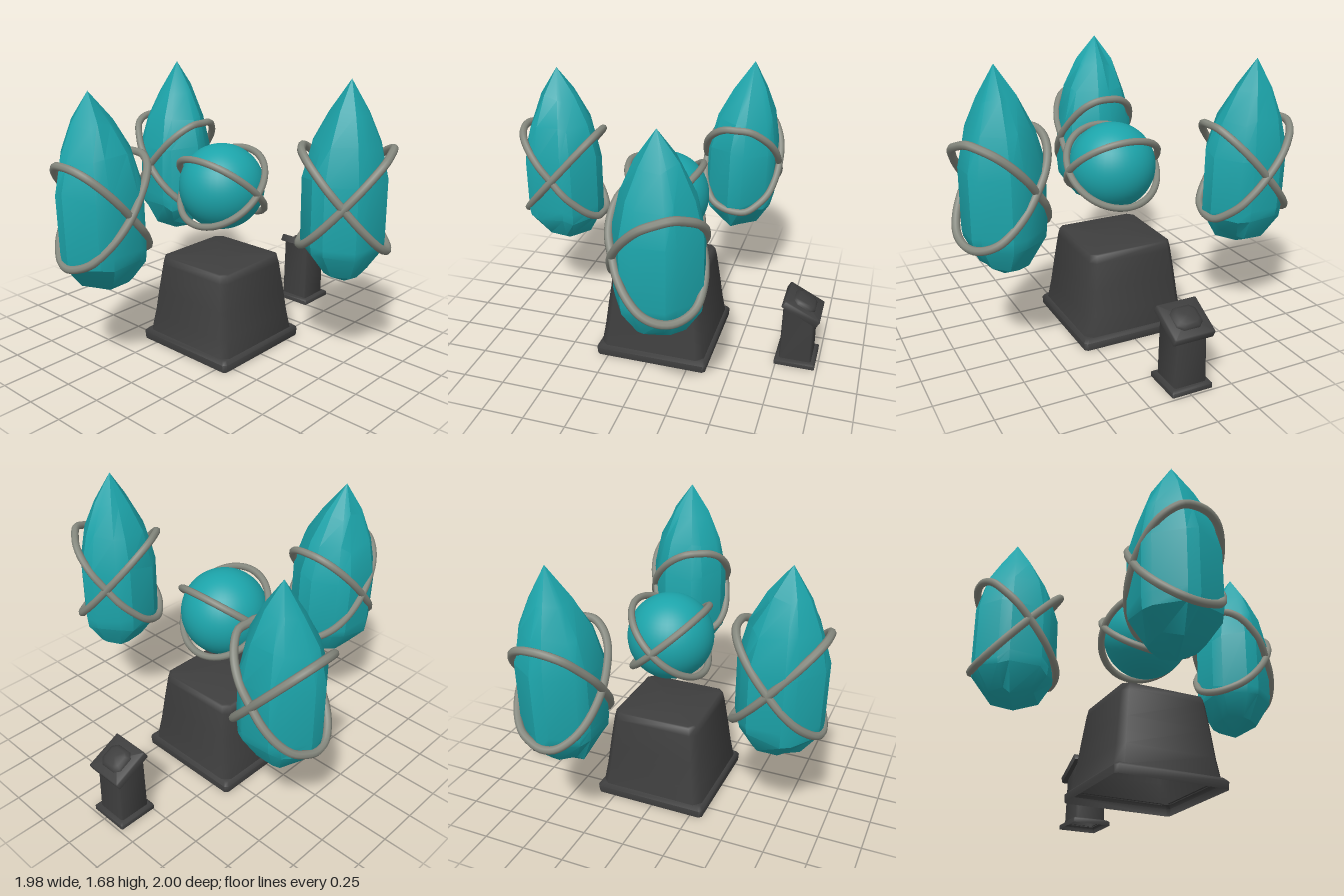
import * as THREE from 'three';
import { toCreasedNormals } from 'three/addons/utils/BufferGeometryUtils.js';

const teal = new THREE.MeshStandardMaterial({ color: 0x1ca4aa });
teal.name = 'teal crystal';
// The stone parts are hollow shells, open underneath
const stone = new THREE.MeshStandardMaterial({ color: 0x3e3e3e, side: THREE.DoubleSide });
stone.name = 'dark stone';
const metal = new THREE.MeshStandardMaterial({ color: 0x85887e });
metal.name = 'grey band';

// Small seeded generator returning values in -1..1
function seeded(seed) {
  let s = seed;
  return () => {
    s = (s * 16807) % 2147483647;
    return (s / 2147483647) * 2 - 1;
  };
}

function part(name, geometry, material) {
  const mesh = new THREE.Mesh(geometry, material);
  mesh.name = name;
  return mesh;
}

// Skins rows of n points, listed from bottom to top; point(row, i) gives [x, y, z]
function loft(rows, n, point, crease) {
  const pos = [];
  const grid = rows.map((row) => Array.from({ length: n }, (_, i) => point(row, i)));
  for (let r = 0; r < rows.length - 1; r++) {
    for (let i = 0; i < n; i++) {
      const j = (i + 1) % n;
      const [a, b, c, d] = [grid[r][i], grid[r][j], grid[r + 1][i], grid[r + 1][j]];
      if (rows[r][0] > 0) pos.push(...a, ...c, ...b);
      if (rows[r + 1][0] > 0) pos.push(...c, ...d, ...b);
    }
  }
  const geometry = new THREE.BufferGeometry();
  geometry.setAttribute('position', new THREE.Float32BufferAttribute(pos, 3));
  geometry.computeVertexNormals();
  return toCreasedNormals(geometry, crease);
}

// Square shell with clipped corners, softly shaded, from rows of [half width, height, slope along x]
function squareLoft(rows, clip) {
  return loft(rows, 8, ([half, y, slope = 0], i) => {
    const near = half * (1 - clip);
    const [u, v] = i % 2 ? [near, half] : [half, near];
    const a = (Math.floor(i / 2) * Math.PI) / 2;
    const x = u * Math.cos(a) - v * Math.sin(a);
    return [x, y + slope * x, u * Math.sin(a) + v * Math.cos(a)];
  }, 1.2);
}

// Six-sided gem with bevelled edges: rows of [relative radius, height above the lower tip]
function crystalGeometry(rx, rz, height, tip, turn, seed) {
  const n = 12;
  const rand = seeded(seed);
  const sides = Array.from({ length: n }, (_, i) => ({
    a: (Math.floor(i / 2) / 6) * Math.PI * 2 + (i % 2 ? 0.15 : -0.15) + rand() * 0.05 + turn,
    r: 1 + rand() * 0.025,
  }));
  const rows = [[0, 0], [0.6, 0.08], [0.97, 0.2], [1, 0.26], [1, 0.6], [0.8, 0.79], [0.47, 0.96], [0, 1.13]];
  return loft(rows, n, ([r, y], i) => {
    const k = y / 1.13;
    const lean = 1 - r * 0.9;
    const shift = k > 0.5 ? tip.top : tip.bottom;
    const jitter = r > 0 ? rand() * 0.025 : 0;
    const radius = r * sides[i].r;
    return [
      radius * rx * Math.cos(sides[i].a) + shift[0] * lean,
      k * height + jitter,
      radius * rz * Math.sin(sides[i].a) + shift[1] * lean,
    ];
  }, 0.5);
}

// Pair of tilted bands that cross at both ends of a level axis (angle in the xz plane)
function crossedBands(name, shape, wobble, seed) {
  const { axis, along, across, rise, power, tube } = shape;
  const group = new THREE.Group();
  group.name = name;
  const rand = seeded(seed);
  const [ca, sa] = [Math.cos(axis), Math.sin(axis)];
  for (const side of [1, -1]) {
    const points = [];
    for (let i = 0; i < 20; i++) {
      const t = (i / 20) * Math.PI * 2;
      const [c, s] = [Math.cos(t), Math.sin(t)];
      const f = (Math.abs(c) ** power + Math.abs(s) ** power) ** (-1 / power) * (1 + rand() * wobble);
      const [u, v] = [c * f * along, s * f * across];
      points.push(new THREE.Vector3(u * ca - v * sa, side * s * f * rise, u * sa + v * ca));
    }
    const curve = new THREE.CatmullRomCurve3(points, true);
    group.add(part('band', new THREE.TubeGeometry(curve, 80, tube, 8, true), metal));
  }
  return group;
}

export function createModel() {
  const model = new THREE.Group();
  model.name = 'floating crystals with plinth';

  // Central plinth
  const plinth = new THREE.Group();
  plinth.name = 'plinth';
  plinth.position.set(0.02, 0, -0.02);
  plinth.add(
    part('plinthFoot', squareLoft([[0.342, 0], [0.345, 0.045], [0.325, 0.065], [0.31, 0.065]], 0.05), stone),
    part('plinthBody', squareLoft([
      [0.325, 0.06], [0.306, 0.18], [0.287, 0.34], [0.266, 0.5], [0.257, 0.545], [0.245, 0.55], [0, 0.55],
    ], 0.13), stone),
  );
  model.add(plinth);

  // Floating orb with its two bands
  const orb = new THREE.Group();
  orb.name = 'floatingOrb';
  orb.position.set(0.02, 0.985, -0.015);
  orb.add(part('orb', new THREE.SphereGeometry(0.255, 40, 28), teal));
  const orbBands = { axis: Math.PI / 2, along: 0.278, across: 0.214, rise: 0.196, power: 2, tube: 0.021 };
  orb.add(crossedBands('orbBands', orbBands, 0, 5));
  model.add(orb);

  // Three banded crystals around the orb
  const crystals = [
    { name: 'rightCrystal', at: [-0.72, 0.49, -0.23], rx: 0.252, rz: 0.245, h: 1.13, turn: 0.1,
      band: [-0.712, 0.975, -0.23], axis: Math.PI / 2, tip: { top: [-0.03, -0.03], bottom: [0.02, 0.02] }, seed: 71 },
    { name: 'frontCrystal', at: [0.205, 0.53, 0.722], rx: 0.24, rz: 0.23, h: 1.15, turn: 0.0,
      band: [0.2, 1.03, 0.73], axis: -0.57, tip: { top: [-0.005, 0.02], bottom: [0.02, 0.02] }, seed: 1234 },
    { name: 'backCrystal', at: [0.335, 0.485, -0.727], rx: 0.23, rz: 0.247, h: 1.135, turn: Math.PI / 6,
      band: [0.335, 0.972, -0.727], axis: 0, tip: { top: [0.045, -0.02], bottom: [-0.02, 0.01] }, seed: 9177 },
  ];
  for (const c of crystals) {
    const crystal = part(c.name, crystalGeometry(c.rx, c.rz, c.h, c.tip, c.turn, c.seed), teal);
    crystal.position.set(...c.at);
    const shape = { axis: c.axis, along: 0.238, across: 0.246, rise: 0.28, power: 2.12, tube: 0.023 };
    const bands = crossedBands(c.name + 'Bands', shape, 0.02, c.seed + 3);
    bands.position.set(...c.band);
    model.add(crystal, bands);
  }

  // Small side pedestal with a sloping top
  const pedestal = new THREE.Group();
  pedestal.name = 'pedestal';
  pedestal.position.set(0.862, 0, -0.018);
  const footRows = [[0.122, 0], [0.122, 0.025], [0.108, 0.035], [0.09, 0.035]];
  pedestal.add(
    part('pedestalFoot', squareLoft(footRows, 0.04), stone),
    part('pedestalColumn', squareLoft([[0.097, 0.03], [0.092, 0.38, -0.45]], 0.1), stone),
  );

  // Tilted desk plate with a raised rounded button
  const desk = new THREE.Group();
  desk.name = 'pedestalDesk';
  desk.position.set(0.015, 0.378, 0);
  desk.rotation.z = -0.47;
  const plateRows = [[0, -0.023], [0.118, -0.023], [0.118, 0.018], [0.112, 0.023], [0, 0.023]];
  const plate = part('deskPlate', squareLoft(plateRows, 0.03), stone);
  plate.scale.z = 1.03;
  const buttonRows = [[0.08, 0.02], [0.074, 0.038], [0.055, 0.048], [0, 0.052]];
  const button = part('deskButton', squareLoft(buttonRows, 0.4), stone);
  button.scale.x = 0.9;
  desk.add(plate, button);
  pedestal.add(desk);
  model.add(pedestal);

  return model;
}
